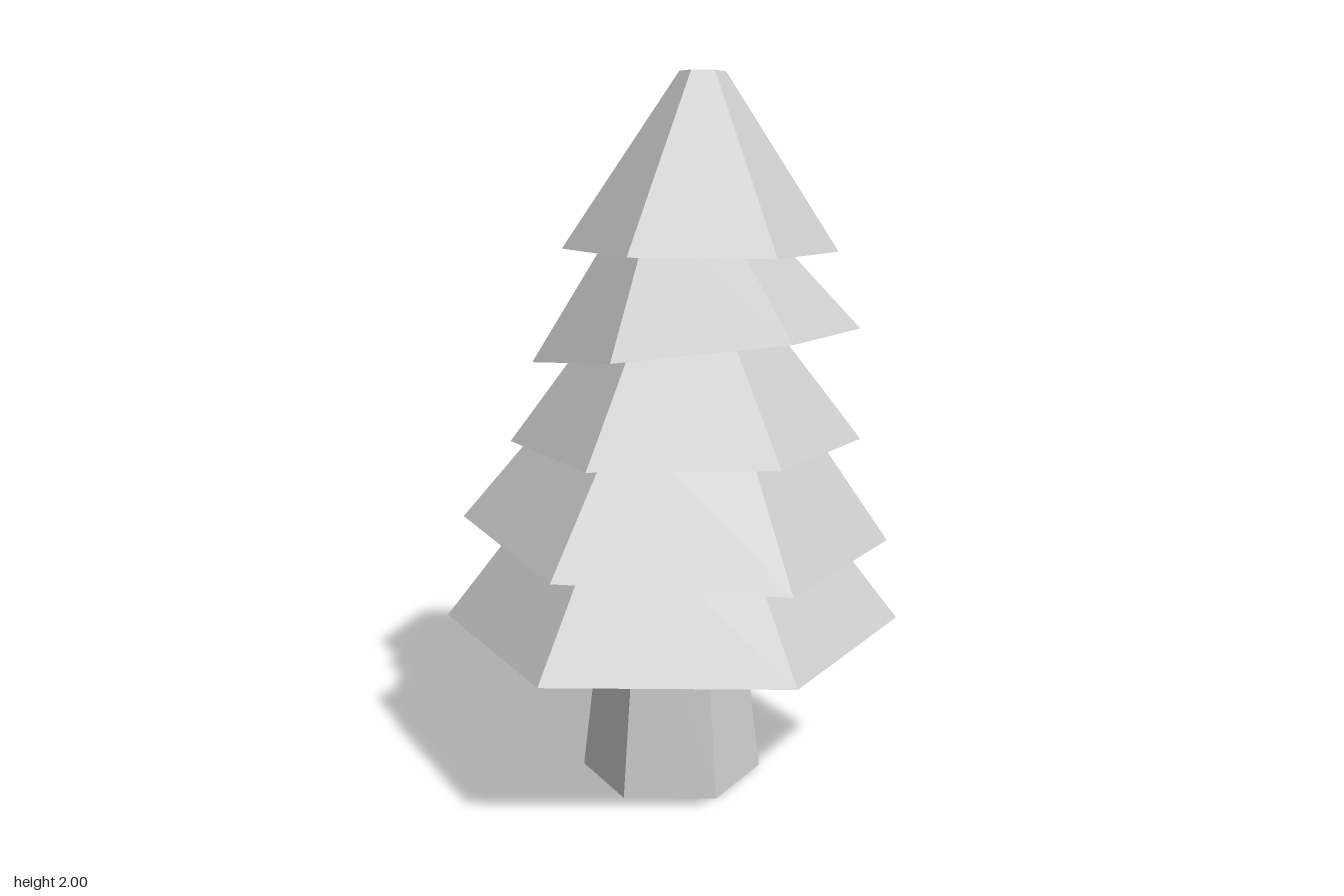
import * as THREE from 'three';

const material = new THREE.MeshStandardMaterial({ color: 0xcccccc, flatShading: true });

// Six-sided solid turned from a [radius, height] profile, corners on the z axis
function hexSolid(name, profile) {
  const points = profile.map(([r, y]) => new THREE.Vector2(r, y));
  const mesh = new THREE.Mesh(new THREE.LatheGeometry(points, 6), material);
  mesh.name = name;
  return mesh;
}

// Foliage tier: tapered hexagon with a recessed underside
function foliageTier(name, { radius, topRadius, height }) {
  const inner = radius * 0.75;
  const recess = radius * 0.26;
  return hexSolid(name, [
    [0, recess], [inner, recess], [inner, 0], [radius, 0], [topRadius, height], [0, height],
  ]);
}

export function createModel() {
  const tree = new THREE.Group();
  tree.name = 'tree';

  // Trunk, reaching into the lowest tier
  tree.add(hexSolid('trunk', [[0, 0], [0.26, 0], [0.184, 0.635], [0, 0.635]]));

  // Tiers from bottom to top, each a little shifted and tilted
  const tiers = [
    { radius: 0.652, topRadius: 0.345, height: 0.4, at: [0, 0.46, 0], turn: [0, 0, 0] },
    { radius: 0.609, topRadius: 0.32, height: 0.38, at: [0.008, 0.724, -0.007], turn: [0.008, 0, -0.067] },
    { radius: 0.495, topRadius: 0.215, height: 0.37, at: [0.036, 0.984, -0.015], turn: [0, 0, 0.012] },
    { radius: 0.469, topRadius: 0.195, height: 0.36, at: [0.03, 1.245, -0.088], turn: [-0.01, 0.035, 0.122] },
    { radius: 0.388, topRadius: 0.064, height: 0.486, at: [0.04, 1.514, -0.09], turn: [0, 0.013, -0.012] },
  ];
  tiers.forEach((spec, i) => {
    const tier = foliageTier(`foliageTier${i + 1}`, spec);
    tier.position.set(...spec.at);
    tier.rotation.set(...spec.turn);
    tree.add(tier);
  });

  return tree;
}
